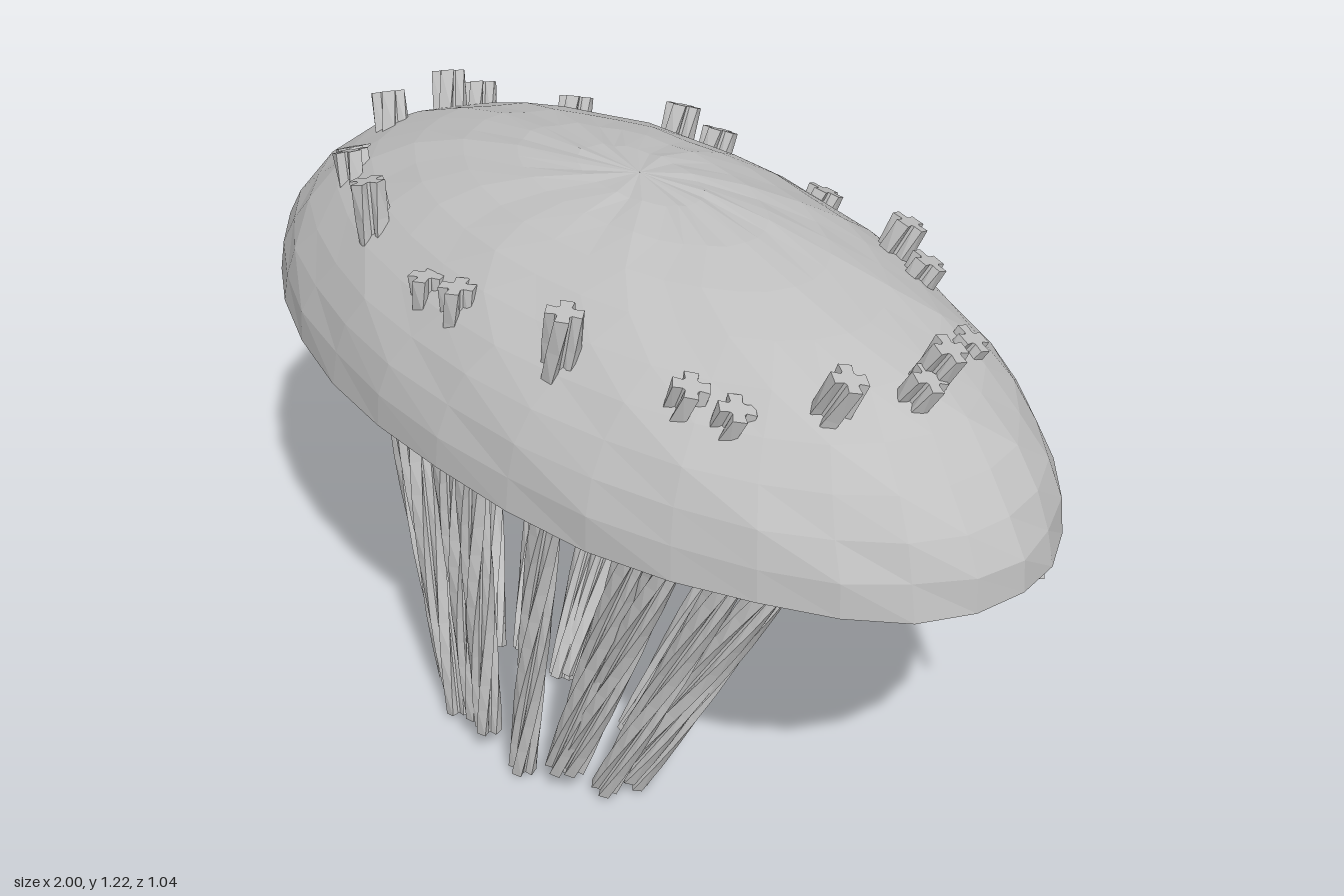
import * as THREE from 'three';

const grey = new THREE.MeshStandardMaterial({ color: 0xc0c0c0, flatShading: true, side: THREE.DoubleSide });
grey.name = 'plain grey';

// Surface from equal closed cross-sections (loops of Vector3), optionally capped
function loft(loops, capStart, capEnd) {
  const n = loops[0].length, pos = [], idx = [];
  loops.forEach(l => l.forEach(p => pos.push(p.x, p.y, p.z)));
  for (let i = 0; i < loops.length - 1; i++) {
    for (let j = 0; j < n; j++) {
      const k = (j + 1) % n, a = i * n + j, b = i * n + k, c = a + n, d = b + n;
      idx.push(a, b, c, b, d, c);
    }
  }
  const cap = (l, base, flip) => {
    const c = l.reduce((s, p) => s.add(p), new THREE.Vector3()).divideScalar(n);
    const m = pos.length / 3;
    pos.push(c.x, c.y, c.z);
    for (let j = 0; j < n; j++) {
      const a = base + j, b = base + (j + 1) % n;
      flip ? idx.push(m, b, a) : idx.push(m, a, b);
    }
  };
  if (capStart) cap(loops[0], 0, true);
  if (capEnd) cap(loops[loops.length - 1], (loops.length - 1) * n, false);
  const g = new THREE.BufferGeometry();
  g.setAttribute('position', new THREE.Float32BufferAttribute(pos, 3));
  g.setIndex(idx);
  g.computeVertexNormals();
  return g;
}

function add(parent, name, geometry) {
  const m = new THREE.Mesh(geometry, grey);
  m.name = name;
  parent.add(m);
  return m;
}

// Open half-ellipsoid whose meridians swirl towards the crown
function domeGeometry() {
  const rings = 10, sides = 32, loops = [];
  for (let i = 0; i <= rings; i++) {
    const t = i / rings, lat = t * Math.PI / 2, loop = [];
    const r = i === rings ? 0.001 : Math.cos(lat);
    for (let j = 0; j < sides; j++) {
      const a = -(j / sides) * Math.PI * 2 - 1.3 * t * t * t;
      const ripple = i === 0 ? 0.005 * Math.cos(j * Math.PI / 2) : 0;
      const bump = 1 + (i > 0 && i < rings ? 0.006 * Math.sin(j * 2.4 + i * 1.9) : 0);
      loop.push(new THREE.Vector3(
        Math.cos(a) * r * bump, 0.78 + ripple + 0.447 * Math.sin(lat) * (r > 0.01 ? bump : 1), Math.sin(a) * r * 0.52 * bump));
    }
    loops.push(loop);
  }
  return loft(loops, false, false);
}

// Twisted four-lobed cord between two points
function cordGeometry(bottom, top, phase) {
  const steps = 16, lobes = 4, loops = [];
  const axis = top.clone().sub(bottom).normalize();
  const u = new THREE.Vector3(0, 0, 1).cross(axis).normalize();
  const v = axis.clone().cross(u);
  for (let i = 0; i <= steps; i++) {
    const t = i / steps, c = bottom.clone().lerp(top, t), loop = [];
    const twist = phase + t * Math.PI * 1.6, size = 0.029 + 0.008 * t;
    for (let j = 0; j < lobes; j++) {
      for (const [da, r] of [[-0.38, 1], [0.38, 1], [0.62, 0.52], [0.95, 0.52]]) {
        const a = twist + j * Math.PI * 2 / lobes + da;
        loop.push(c.clone().addScaledVector(u, Math.cos(a) * r * size).addScaledVector(v, Math.sin(a) * r * size));
      }
    }
    loops.push(loop);
  }
  return loft(loops, true, true);
}

// Top ends of the cords: x, height, z
const cordTops = [
  [-0.43, 1.16, 0.33], [-0.17, 1.08, 0.39], [-0.07, 1.1, 0.395], [0.22, 1.165, 0.38],
  [0.475, 1.1, 0.31], [0.56, 1.08, 0.28], [0.7, 1.15, 0.15], [0.76, 1.12, 0.01],
  [0.76, 1.16, -0.04], [0.68, 1.08, -0.2], [0.48, 1.12, -0.3], [0.4, 1.16, -0.33],
  [0.125, 1.1, -0.39], [-0.17, 1.13, -0.38], [-0.26, 1.16, -0.36], [-0.52, 1.11, -0.29],
  [-0.7, 1.12, -0.17], [-0.73, 1.155, -0.11], [-0.76, 1.14, 0.03], [-0.7, 1.08, 0.17],
  [-0.64, 1.11, 0.22],
];

export function createModel() {
  const model = new THREE.Group();
  model.name = 'tentacledDome';
  add(model, 'dome', domeGeometry());

  // Cords gather forwards and inwards as they descend
  const cords = new THREE.Group();
  cords.name = 'cords';
  model.add(cords);
  cordTops.forEach(([x, y, z], i) => {
    const bottom = new THREE.Vector3(x * 0.35, 0.015 + (1.165 - y) * 0.7, 0.27 + z * 0.34);
    add(cords, 'cord', cordGeometry(bottom, new THREE.Vector3(x, y, z), i * 1.7));
  });

  // Narrow lip following the back of the rim
  const half = [[0.82, 0.79, -0.3], [0.66, 0.77, -0.41], [0.46, 0.772, -0.49], [0.13, 0.79, -0.525]];
  const path = [...half, ...half.slice().reverse().map(([x, y, z]) => [-x, y, z])];
  const lip = path.map(([x, y, z]) => {
    const out = new THREE.Vector3(x * 0.27, 0, z).normalize().multiplyScalar(0.022);
    return [[0, -1], [0, 1], [1, 1], [1, -1]].map(([o, h]) =>
      new THREE.Vector3(x - out.x * (1 - o), y + h * 0.013, z - out.z * (1 - o)));
  });
  add(model, 'backLip', loft(lip, true, true));

  // Slim prongs hanging from the lip ends
  for (const s of [1, -1]) {
    const from = new THREE.Vector3(s * 0.808, 0.79, -0.295), to = new THREE.Vector3(s * 0.867, 0.625, -0.23);
    const prong = add(model, s > 0 ? 'leftProng' : 'rightProng',
      new THREE.CylinderGeometry(0.009, 0.007, from.distanceTo(to), 4));
    prong.position.copy(from).lerp(to, 0.5);
    prong.quaternion.setFromUnitVectors(new THREE.Vector3(0, 1, 0), from.clone().sub(to).normalize());
  }
  return model;
}
